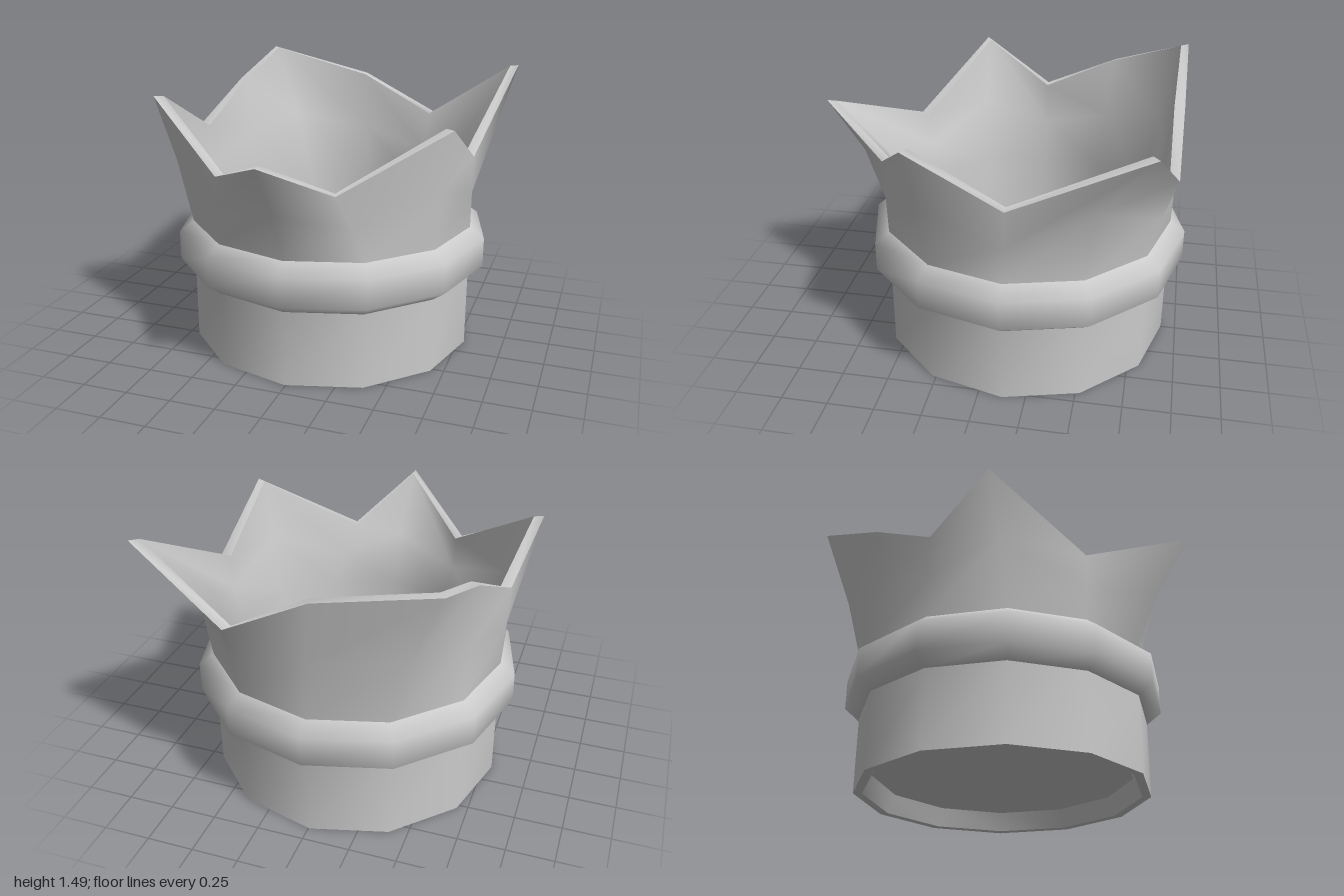
import * as THREE from 'three';

const SIDES = 12, CX = -0.007, CZ = -0.127;
const material = new THREE.MeshStandardMaterial({ color: 0xcccccc });

// Regular 12-sided ring; index 0 faces the front, then runs towards +x
function ring(r, y) {
  return Array.from({ length: SIDES }, (_, k) => {
    const a = (k / SIDES) * Math.PI * 2;
    return new THREE.Vector3(CX + r * Math.sin(a), y, CZ + r * Math.cos(a));
  });
}

// Smooth closed skin through a stack of rings
function loft(name, rings, inside = false) {
  const index = [];
  for (let j = 0; j < rings.length - 1; j++) {
    for (let k = 0; k < SIDES; k++) {
      const n = (k + 1) % SIDES;
      const a = j * SIDES + k, b = j * SIDES + n, c = a + SIDES, d = b + SIDES;
      if (inside) index.push(a, d, b, a, c, d);
      else index.push(a, b, d, a, d, c);
    }
  }
  const geometry = new THREE.BufferGeometry().setFromPoints(rings.flat());
  geometry.setIndex(index);
  geometry.computeVertexNormals();
  const mesh = new THREE.Mesh(geometry, material);
  mesh.name = name;
  return mesh;
}

// Jagged outer rim, one point per side
const RIM = [
  [0, 1.27, 0.998], [0.255, 1.047, 0.62], [0.77, 1.355, 0.36], [0.785, 1.095, -0.14],
  [0.9, 1.475, -0.84], [0.39, 1.135, -0.94], [-0.05, 1.355, -0.94], [-0.67, 1.49, -0.94],
  [-0.735, 1.355, -0.53], [-0.82, 1.15, -0.12], [-0.9, 1.39, 0.27], [-0.405, 1.07, 0.57],
].map((p) => new THREE.Vector3(...p));

// How far each side has flared out by half height, and how thick it is there
const FLARE = [0.41, 0.41, 0.41, 0.41, 0.15, 0.41, 0.41, 0.41, 0.41, 0.41, 0.41, 0.41];
const THICKNESS = [0.14, 0.06, 0.06, 0.06, 0.08, 0.06, 0.06, 0.06, 0.06, 0.06, 0.06, 0.06];

// Move a ring's points towards the central axis
function shrink(points, amount) {
  return points.map((p, k) => {
    const dir = new THREE.Vector3(CX - p.x, 0, CZ - p.z).normalize();
    return p.clone().addScaledVector(dir, amount(k));
  });
}

// Ring halfway up the jagged wall
function middle(base) {
  return base.map((p, k) => {
    const point = p.clone().lerp(RIM[k], FLARE[k]);
    point.y = (p.y + RIM[k].y) / 2;
    return point;
  });
}

export function createModel() {
  const group = new THREE.Group();
  group.name = 'crown';

  // Straight lower band and its underside
  group.add(loft('lowerBand', [ring(0.793, 0), ring(0.793, 0.42)]));
  group.add(loft('bottomLip', [ring(0.745, 0), ring(0.793, 0)]));
  group.add(loft('bottomRecess', [ring(0.745, 0), ring(0.7, 0.1)], true));

  // Bulging belt
  group.add(loft('belt', [ring(0.793, 0.42), ring(0.873, 0.48), ring(0.873, 0.64), ring(0.793, 0.7)]));

  // Flared wall with points, outside and inside, joined by a flat rim
  const base = ring(0.793, 0.7);
  const mid = middle(base);
  const innerMid = shrink(mid, (k) => THICKNESS[k]);
  const innerRim = shrink(RIM, () => 0.055);
  group.add(loft('outerWall', [base, mid, RIM]));
  group.add(loft('innerWall', [ring(0.695, 0.1), ring(0.695, 0.7), innerMid, innerRim], true));
  group.add(loft('rim', [RIM, innerRim]));

  // Floor disc closing the inside
  const floorMaterial = material.clone();
  floorMaterial.side = THREE.DoubleSide;
  const floor = new THREE.Mesh(new THREE.CircleGeometry(0.7, SIDES), floorMaterial);
  floor.name = 'floor';
  floor.rotation.x = -Math.PI / 2;
  floor.position.set(CX, 0.1, CZ);
  group.add(floor);

  return group;
}
